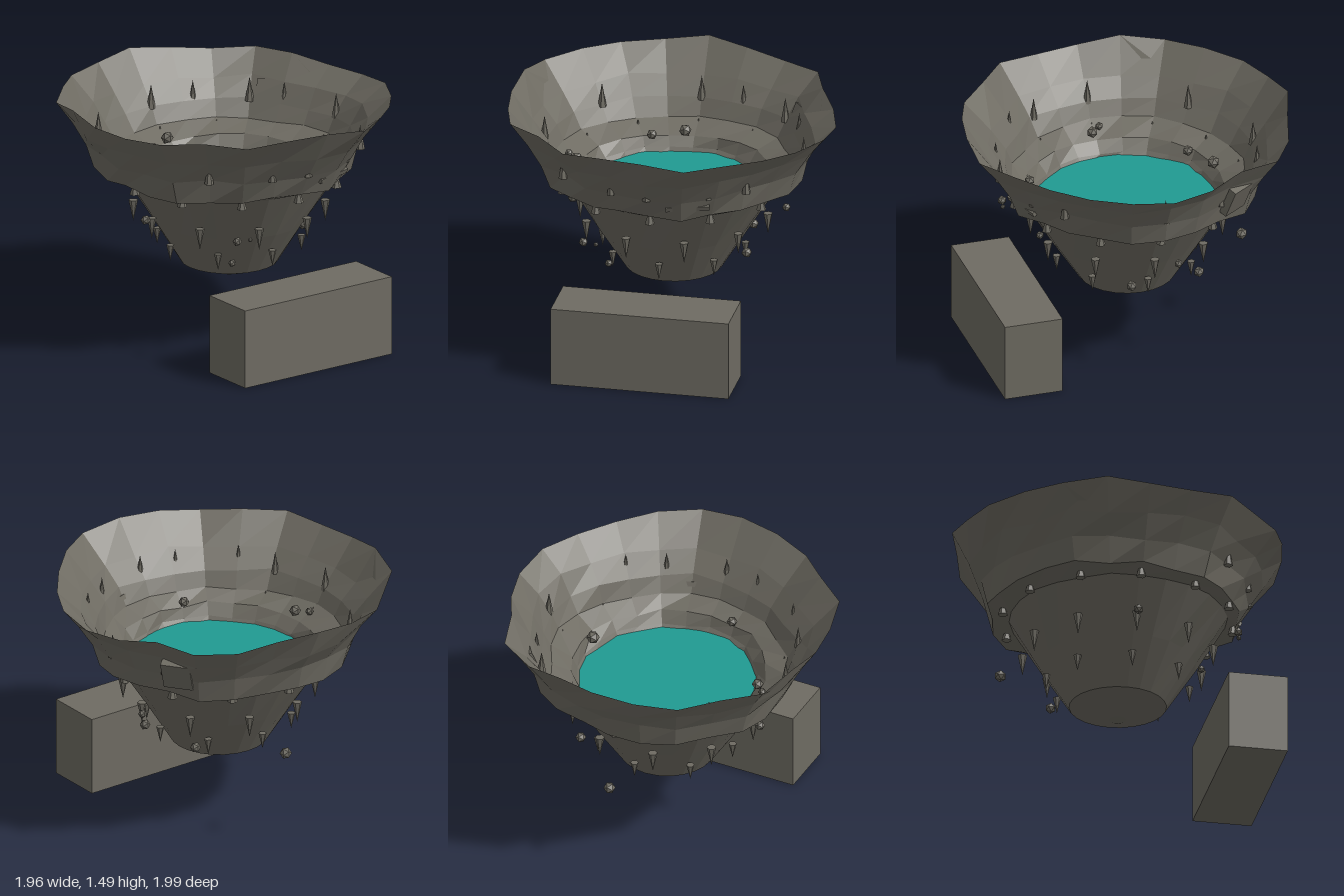
import * as THREE from 'three';

// Small seeded generator, -1..1
function makeJitter(seed) {
  return () => {
    seed = (seed * 16807) % 2147483647;
    return (seed / 2147483647) * 2 - 1;
  };
}

// Rim radius every 15 degrees, from +x towards +z
const RIM = [0.975, 0.985, 0.96, 0.955, 0.98, 1.025, 0.985, 0.97, 0.98, 0.95, 1.015, 0.98,
  0.98, 0.99, 1.025, 0.99, 1.015, 0.99, 0.995, 0.95, 0.98, 1.01, 0.92, 0.94];

// Bowl section from the tip, up the outside, over the rim and down to the pool:
// radius, height, share of rim irregularity, front taper, radial jitter, height jitter
const PROFILE = [
  [0, 0.365, 0, 0, 0, 0],
  [0.05, 0.367, 0, 0, 0, 0],
  [0.288, 0.45, 0, 0, 0, 0],
  [0.459, 0.72, 0, 0, 0.006, 0],
  [0.645, 1.015, 0, 0, 0.006, 0.008],
  [0.765, 1.04, 0.7, 0.05, 0.018, 0.015],
  [0.81, 1.18, 0.8, 0.04, 0.012, 0.015],
  [0.885, 1.31, 0.9, 0.025, 0.01, 0.015],
  [0.98, 1.47, 1, 0, 0, 0.022],
  [0.848, 1.3, 0.9, 0.025, 0.01, 0.015],
  [0.768, 1.18, 0.8, 0.04, 0.01, 0.012],
  [0.715, 1.085, 0.6, 0.04, 0.01, 0.01],
  [0.585, 1.025, 0, 0, 0.02, 0.012],
  [0.545, 0.96, 0, 0, 0.02, 0.008],
  [0.5, 0.9, 0, 0, 0.015, 0],
];

function bowlGeometry() {
  const jitter = makeJitter(4711);
  const n = RIM.length;
  const rows = PROFILE.map(([r, y, share, taper, jr, jy]) => RIM.map((rim, i) => {
    const a = (i / n) * Math.PI * 2;
    const front = taper * Math.max(0, Math.sin(a));
    const radius = r * (1 + share * (rim / 0.98 - 1)) - front + jr * jitter();
    const dip = y > 1.4 ? 0.05 * Math.max(0, Math.cos(a)) : 0;
    return [Math.cos(a) * radius, y + jy * jitter() - dip, Math.sin(a) * radius];
  }));
  const pos = [];
  for (let j = 0; j < rows.length - 1; j++) {
    for (let i = 0; i < n; i++) {
      const k = (i + 1) % n;
      const a = rows[j][i], b = rows[j][k], c = rows[j + 1][k], d = rows[j + 1][i];
      if (j > 0) pos.push(...a, ...d, ...b);
      pos.push(...b, ...d, ...c);
    }
  }
  const g = new THREE.BufferGeometry();
  g.setAttribute('position', new THREE.Float32BufferAttribute(pos, 3));
  g.computeVertexNormals();
  return g;
}

export function createModel() {
  const model = new THREE.Group();
  model.name = 'floatingCrater';
  const stone = new THREE.MeshStandardMaterial({ color: 0x6e6b62, flatShading: true, side: THREE.DoubleSide });
  stone.name = 'stone';
  const water = new THREE.MeshStandardMaterial({ color: 0x209a92, flatShading: true, side: THREE.DoubleSide });
  water.name = 'water';

  const add = (name, geometry, material, x = 0, y = 0, z = 0, parent = model) => {
    const mesh = new THREE.Mesh(geometry, material);
    mesh.name = name;
    mesh.position.set(x, y, z);
    parent.add(mesh);
    return mesh;
  };
  const addGroup = (name) => {
    const group = new THREE.Group();
    group.name = name;
    model.add(group);
    return group;
  };

  // Conical bowl with a flared wall and an inner ledge
  add('craterBowl', bowlGeometry(), stone);

  // Pool: its edge is cut by the sloping inner bank
  add('pool', new THREE.CircleGeometry(0.56, 32).rotateX(-Math.PI / 2), water, -0.01, 0.94, 0.01);

  // Stone block in front
  add('stoneBlock', new THREE.BoxGeometry(1.07, 0.48, 0.355), stone, -0.015, 0.24, 0.732);

  // Spikes stand on a circle; hanging ones point down
  const spike = (group, angle, ringRadius, yBase, radius, height, hanging) => {
    const cone = new THREE.ConeGeometry(radius, height, 6);
    if (hanging) cone.rotateX(Math.PI);
    const y = yBase + (hanging ? -height / 2 : height / 2);
    add('spike', cone, stone, Math.cos(angle) * ringRadius, y, Math.sin(angle) * ringRadius, group);
  };
  const spikeRing = (name, count, ...size) => {
    const group = addGroup(name);
    for (let i = 0; i < count; i++) spike(group, (i / count) * Math.PI * 2, ...size);
  };
  spikeRing('lowerHangingSpikes', 8, 0.43, 0.62, 0.024, 0.1, true);
  spikeRing('upperHangingSpikes', 10, 0.565, 0.815, 0.028, 0.13, true);
  spikeRing('collarSpikes', 12, 0.69, 0.985, 0.03, 0.1, false);
  spikeRing('innerSpikes', 8, 0.78, 1.17, 0.028, 0.15, false);

  // Odd spikes between the regular ones on the wall
  const oddSpikes = addGroup('oddSpikes');
  for (const deg of [63, 107, 152, -29, -70]) {
    spike(oddSpikes, THREE.MathUtils.degToRad(deg), 0.77, 1.17, 0.024, 0.14, false);
  }

  // Loose pebbles: x, y, z, radius
  const pebbles = [
    [0.51, 1.06, 0.04, 0.04], [-0.05, 1.06, -0.55, 0.038], [-0.23, 1.06, -0.45, 0.032],
    [-0.58, 1.08, 0.03, 0.035], [-0.64, 1.08, -0.03, 0.025], [-0.15, 1.06, 0.55, 0.032],
    [-0.41, 0.81, 0.64, 0.028], [-0.33, 0.81, 0.66, 0.015], [0.65, 0.81, -0.12, 0.026],
    [-0.61, 0.81, 0, 0.03], [-0.3, 0.6, 0.44, 0.024], [0.46, 0.6, 0.11, 0.032],
    [0.41, 0.6, -0.32, 0.032], [0.03, 0.6, -0.7, 0.036],
  ];
  const pebbleGroup = addGroup('pebbles');
  for (const [x, y, z, r] of pebbles) {
    add('pebble', new THREE.IcosahedronGeometry(r, 0), stone, x, y, z, pebbleGroup);
  }

  // Slabs set into the outer wall: angle, radius, height, width, tall
  for (const [deg, r, y, w, h] of [[72, 0.74, 1.12, 0.26, 0.03], [-36, 0.81, 1.2, 0.18, 0.19]]) {
    const a = THREE.MathUtils.degToRad(deg);
    const slab = add('wallSlab', new THREE.BoxGeometry(w, h, 0.05), stone, Math.cos(a) * r, y, Math.sin(a) * r);
    slab.rotation.set(0.4, Math.PI / 2 - a, 0, 'YXZ');
  }

  return model;
}
